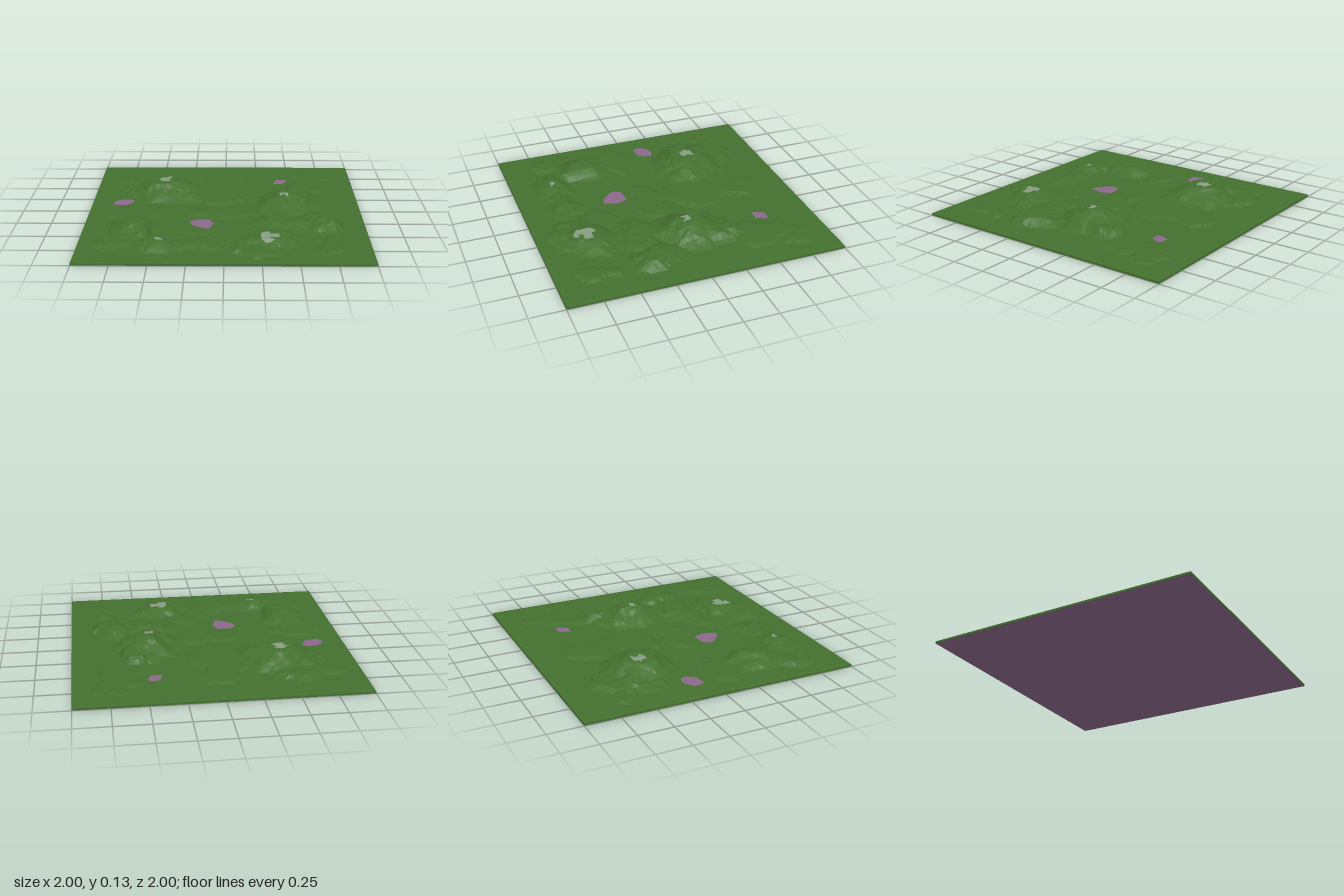
import * as THREE from 'three';

const N = 64; // grid cells per side
const BASE = 0.016; // top of the flat slab

// Landforms: x, z, radius x, radius z, rise, flat-top fraction
const landforms = [
  // hills
  [-0.45, -0.38, 0.33, 0.30, 0.104, 0.28],
  [0.46, -0.06, 0.25, 0.29, 0.108, 0.25],
  [0.30, 0.66, 0.25, 0.21, 0.062, 0.3],
  [-0.64, 0.42, 0.16, 0.28, 0.072, 0.2],
  [-0.45, 0.69, 0.22, 0.15, 0.05, 0.3],
  [0.70, 0.28, 0.14, 0.2, 0.056, 0.5],
  [0.58, -0.26, 0.13, 0.18, 0.06, 0.4],
  // ridges
  [-0.2, 0.68, 0.22, 0.13, 0.03, 0.4],
  [0.42, 0.32, 0.25, 0.22, 0.04, 0.4],
  // low plateaus
  [-0.03, -0.66, 0.14, 0.15, 0.017, 0.8],
  [-0.1, -0.35, 0.28, 0.26, 0.02, 0.85],
  [-0.55, -0.62, 0.2, 0.17, 0.025, 0.7],
  [-0.82, -0.63, 0.11, 0.08, 0.014, 0.75],
  [0.62, -0.5, 0.17, 0.24, 0.015, 0.7],
  [0.76, -0.72, 0.12, 0.13, 0.012, 0.7],
  [0.0, 0.08, 0.28, 0.14, 0.016, 0.7],
  [-0.68, 0.12, 0.22, 0.14, 0.016, 0.7],
  [-0.78, 0.66, 0.13, 0.1, 0.022, 0.7],
  [0.72, 0.7, 0.08, 0.14, 0.018, 0.8],
  [0.18, 0.8, 0.14, 0.1, 0.022, 0.75],
  [0.1, 0.5, 0.2, 0.15, 0.017, 0.7],
];

// Bare rock patches: x, z, radius
const rocks = [[-0.47, -0.39, 0.06], [0.45, -0.05, 0.045], [0.30, 0.66, 0.075], [-0.45, 0.70, 0.03]];

// Shorelines as x, z corners
const lakes = [
  [[0.41, -0.66], [0.48, -0.66], [0.49, -0.63], [0.46, -0.57], [0.38, -0.57], [0.39, -0.61]],
  [[-0.84, -0.15], [-0.79, -0.19], [-0.73, -0.2], [-0.69, -0.18], [-0.69, -0.13], [-0.73, -0.08], [-0.82, -0.07], [-0.84, -0.1]],
  [[-0.25, 0.27], [-0.22, 0.23], [-0.11, 0.22], [-0.08, 0.30], [-0.11, 0.4], [-0.16, 0.39], [-0.24, 0.32]],
];
const lakeCentres = [[0.435, -0.615, 0.06], [-0.765, -0.135, 0.085], [-0.16, 0.31, 0.1]];
const WATER = 0.022;

function hash(i, j) {
  const s = Math.sin(i * 127.1 + j * 311.7) * 43758.5453;
  return s - Math.floor(s);
}

// Smooth value noise in -1..1
function noise(x, z) {
  const i = Math.floor(x), j = Math.floor(z);
  const u = THREE.MathUtils.smoothstep(x - i, 0, 1), v = THREE.MathUtils.smoothstep(z - j, 0, 1);
  const a = THREE.MathUtils.lerp(hash(i, j), hash(i + 1, j), u);
  const b = THREE.MathUtils.lerp(hash(i, j + 1), hash(i + 1, j + 1), u);
  return 2 * THREE.MathUtils.lerp(a, b, v) - 1;
}

function heightAt(x, z) {
  const edge = Math.max(Math.abs(x), Math.abs(z));
  if (edge > 0.999) return BASE;
  // wobble the outlines so the terraces look eroded
  const wx = x + 0.045 * noise(x * 9, z * 9), wz = z + 0.045 * noise(x * 9 + 40, z * 9);
  let rise = 0;
  for (const [cx, cz, rx, rz, h, flat] of landforms) {
    const d = Math.hypot((wx - cx) / rx, (wz - cz) / rz);
    rise = Math.max(rise, h * (1 - THREE.MathUtils.clamp((d - flat) / (1 - flat), 0, 1)));
  }
  // partial terracing
  const step = 0.014;
  const terrace = Math.round(rise / step) * step;
  let y = 0.02 + 0.6 * terrace + 0.4 * rise + 0.0015 * noise(x * 14, z * 14);
  if (rise > 0.02) y += 0.005 * noise(x * 25, z * 25);
  // hollow out the lake beds
  for (const [cx, cz, r] of lakeCentres) {
    const k = THREE.MathUtils.smoothstep(Math.hypot(x - cx, z - cz), r + 0.03, r + 0.09);
    y = THREE.MathUtils.lerp(0.019, y, k);
  }
  return Math.min(y, 0.129);
}

function surface(name, positions, color) {
  const g = new THREE.BufferGeometry();
  g.setAttribute('position', new THREE.Float32BufferAttribute(positions, 3));
  g.computeVertexNormals();
  const m = new THREE.Mesh(g, new THREE.MeshStandardMaterial({ color, flatShading: true }));
  m.name = name;
  return m;
}

export function createModel() {
  const group = new THREE.Group();
  group.name = 'terrain';
  const GREEN = 0x44702f, PURPLE = 0x8c688c;

  // Faceted land, with rock triangles gathered separately
  const grass = [], rock = [];
  const point = (i, j) => {
    const x = -1 + 2 * i / N, z = -1 + 2 * j / N;
    return [x, heightAt(x, z), z];
  };
  const addTriangle = (a, b, c) => {
    const x = (a[0] + b[0] + c[0]) / 3, z = (a[2] + b[2] + c[2]) / 3;
    const bare = rocks.some(([cx, cz, r]) => Math.hypot(x - cx, z - cz) < r * (0.8 + 0.4 * noise(x * 30, z * 30)));
    (bare ? rock : grass).push(...a, ...b, ...c);
  };
  for (let j = 0; j < N; j++) {
    for (let i = 0; i < N; i++) {
      const a = point(i, j), b = point(i + 1, j), c = point(i, j + 1), d = point(i + 1, j + 1);
      if (hash(i, j) > 0.5) {
        addTriangle(a, c, b);
        addTriangle(b, c, d);
      } else {
        addTriangle(a, c, d);
        addTriangle(a, d, b);
      }
    }
  }
  group.add(surface('grassLand', grass, GREEN), surface('rockyPeaks', rock, 0x869c82));

  // Slab under the land
  const slab = new THREE.Mesh(
    new THREE.BoxGeometry(2, BASE - 0.001, 2),
    new THREE.MeshStandardMaterial({ color: GREEN }),
  );
  slab.name = 'slab';
  slab.position.y = (BASE + 0.001) / 2;
  group.add(slab);

  // Underside
  const water = new THREE.MeshStandardMaterial({ color: PURPLE });
  const underside = new THREE.Mesh(new THREE.PlaneGeometry(2, 2).rotateX(Math.PI / 2), water);
  underside.name = 'underside';
  group.add(underside);

  // Lakes
  lakes.forEach((shore, i) => {
    const shape = new THREE.Shape(shore.map(([x, z]) => new THREE.Vector2(x, -z)));
    const lake = new THREE.Mesh(new THREE.ShapeGeometry(shape).rotateX(-Math.PI / 2), water);
    lake.name = `lake${i + 1}`;
    lake.position.y = WATER;
    group.add(lake);
  });
  return group;
}
